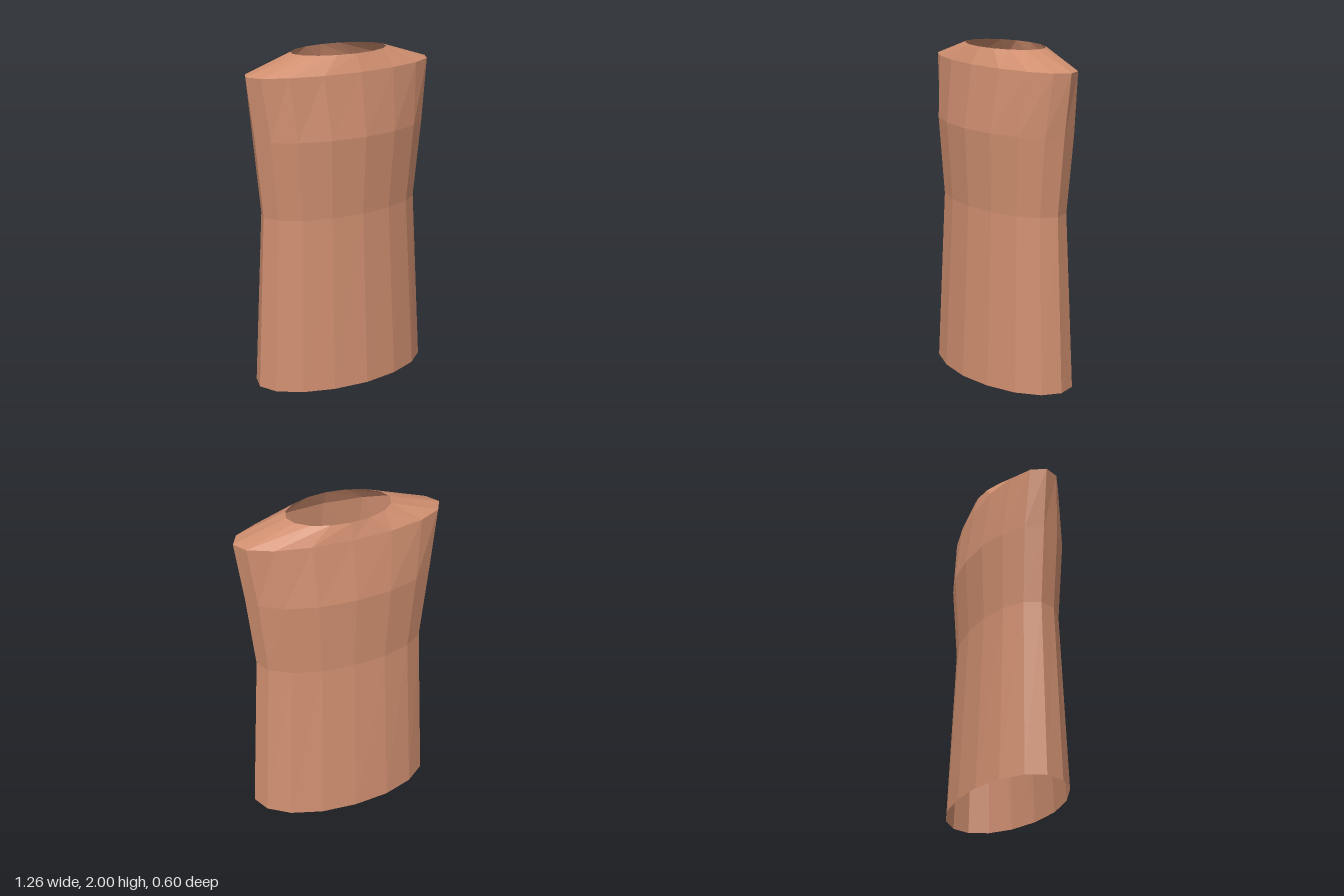
import * as THREE from 'three';

// Cross-sections from top to bottom: height, half width, half depth, x centre, z at middle, z at sides
const RINGS = [
  [2.0, 0.315, 0.185, 0, -0.017, -0.017],
  [1.9, 0.63, 0.223, -0.002, -0.002, -0.014],
  [1.53, 0.577, 0.275, -0.003, -0.002, -0.012],
  [1.06, 0.526, 0.25, -0.005, -0.002, -0.011],
  [0, 0.576, 0.301, -0.002, -0.002, -0.011],
];
const SIDES = 16;

export function createModel() {
  const group = new THREE.Group();

  // Open tube whose rows are reshaped into the oval rings
  const geometry = new THREE.CylinderGeometry(1, 1, 1, SIDES, RINGS.length - 1, true);
  const pos = geometry.attributes.position;
  for (let i = 0; i < pos.count; i++) {
    const [y, rx, rz, cx, zMid, zSide] = RINGS[Math.floor(i / (SIDES + 1))];
    const x = pos.getX(i), z = pos.getZ(i);
    const cz = THREE.MathUtils.lerp(zMid, zSide, Math.abs(x));
    pos.setXYZ(i, cx + rx * x, y, cz + rz * z);
  }
  geometry.computeVertexNormals();

  const torso = new THREE.Mesh(geometry, new THREE.MeshStandardMaterial({
    color: 0xd08f70, flatShading: true, side: THREE.DoubleSide,
  }));
  torso.name = 'torsoShell';
  group.add(torso);
  return group;
}
